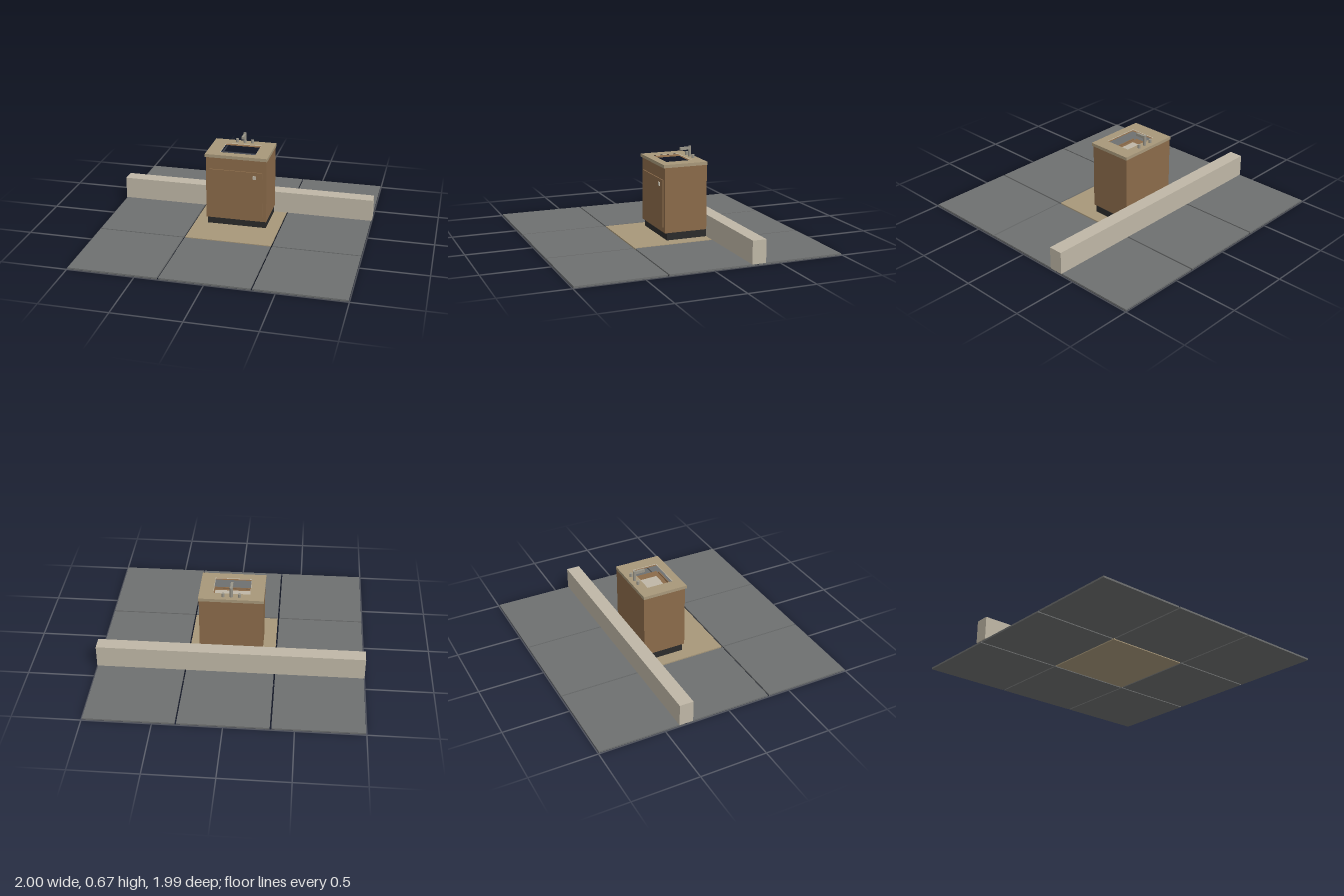
import * as THREE from 'three';

const makeMaterial = (name, color) => {
  const m = new THREE.MeshStandardMaterial({ color });
  m.name = name;
  return m;
};

export function createModel() {
  const slate = makeMaterial('slate grey', 0x6e7070);
  const sand = makeMaterial('sand', 0xa8987a);
  const plaster = makeMaterial('pale stone', 0xbfb7a6);
  const wood = makeMaterial('brown wood', 0x8b6b4a);
  const black = makeMaterial('plinth black', 0x2b2b2b);
  const metal = makeMaterial('brushed metal', 0x9a968a);

  const model = new THREE.Group();
  model.name = 'washstand';

  const add = (name, geometry, material, parent = model) => {
    const mesh = new THREE.Mesh(geometry, material);
    mesh.name = name;
    parent.add(mesh);
    return mesh;
  };

  // Box given by its limits on each axis
  const box = (name, [x0, x1], [y0, y1], [z0, z1], material, parent) => {
    const mesh = add(name, new THREE.BoxGeometry(x1 - x0, y1 - y0, z1 - z0), material, parent);
    mesh.position.set((x0 + x1) / 2, (y0 + y1) / 2, (z0 + z1) / 2);
    return mesh;
  };

  // Upright rectangular frame with a rectangular hole through it
  const frame = (name, [x0, x1], [y0, y1], [z0, z1], hole, material, parent) => {
    const rect = (P, a, b, c, d) =>
      new P([[a, c], [b, c], [b, d], [a, d]].map(([x, z]) => new THREE.Vector2(x, -z)));
    const shape = rect(THREE.Shape, x0, x1, z0, z1);
    shape.holes.push(rect(THREE.Path, hole.x[0], hole.x[1], hole.z[0], hole.z[1]));
    const g = new THREE.ExtrudeGeometry(shape, { depth: y1 - y0, bevelEnabled: false });
    g.rotateX(-Math.PI / 2).translate(0, y0, 0);
    return add(name, g, material, parent);
  };

  // Floor: three by three tiles with open joints, the middle one sand coloured
  const floor = new THREE.Group();
  floor.name = 'floor';
  model.add(floor);
  const pitch = 0.6665, half = 0.3275, top = 0.013;
  for (let i = -1; i <= 1; i++) {
    for (let j = -1; j <= 1; j++) {
      const x = i * pitch, z = j * pitch;
      box('floorTile', [x - half, x + half], [0, top], [z - half, z + half],
        i === 0 && j === 0 ? sand : slate, floor);
    }
  }

  // Low wall behind the cabinet
  box('lowWall', [-1, 1], [top, 0.183], [-0.39, -0.284], plaster);

  // Cabinet on a recessed plinth
  const cabinet = new THREE.Group();
  cabinet.name = 'cabinet';
  model.add(cabinet);
  box('plinth', [-0.229, 0.229], [top, 0.07], [-0.282, 0.036], black, cabinet);
  box('cabinetBase', [-0.234, 0.234], [0.07, 0.46], [-0.282, 0.053], wood, cabinet);
  frame('cabinetRim', [-0.234, 0.234], [0.46, 0.566], [-0.282, 0.053],
    { x: [-0.15, 0.15], z: [-0.22, 0.015] }, wood, cabinet);
  box('door', [-0.205, 0.205], [0.11, 0.47], [0.053, 0.062], wood, cabinet);
  box('doorKnob', [0.131, 0.157], [0.418, 0.444], [0.062, 0.07], plaster, cabinet);

  // Countertop with a sunken basin
  const basin = { x: [-0.137, 0.137], z: [-0.203, 0.002] };
  frame('countertop', [-0.239, 0.239], [0.566, 0.59], [-0.284, 0.066], basin, sand, cabinet);
  frame('basinWalls', [-0.145, 0.145], [0.475, 0.587], [-0.211, 0.01],
    { x: [-0.134, 0.134], z: [-0.2, -0.001] }, plaster, cabinet);
  box('basinFloor', [-0.14, 0.14], [0.467, 0.48], [-0.206, 0.005], plaster, cabinet);

  // Faucet: post, spout and two handles
  const faucet = new THREE.Group();
  faucet.name = 'faucet';
  model.add(faucet);
  const post = (name, x, height) => {
    const mesh = add(name, new THREE.CylinderGeometry(0.0115, 0.0115, height, 12), metal, faucet);
    mesh.position.set(x, 0.59 + height / 2, -0.243);
  };
  post('faucetPost', 0, 0.08);
  for (const side of [-1, 1]) post('faucetHandle', side * 0.06, 0.027);
  box('spout', [-0.009, 0.009], [0.644, 0.665], [-0.243, -0.162], metal, faucet);

  return model;
}
